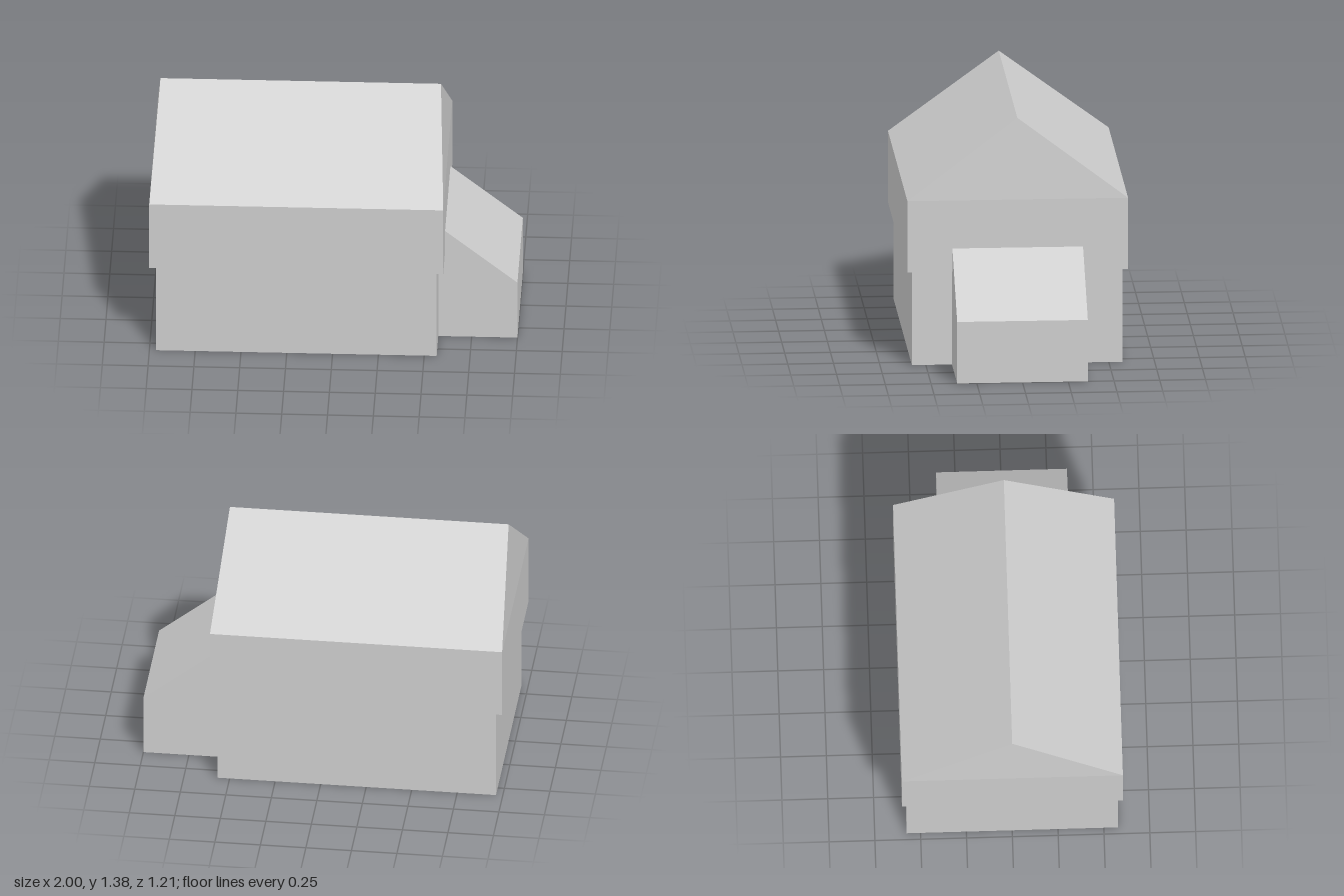
import * as THREE from 'three';

const grey = new THREE.MeshStandardMaterial({ color: 0xcccccc });
grey.name = 'plain grey';

// Straight prism from a closed outline, extruded along +z
function prism(points, depth) {
  const shape = new THREE.Shape(points.map(([x, y]) => new THREE.Vector2(x, y)));
  return new THREE.ExtrudeGeometry(shape, { depth, bevelEnabled: false });
}

// Box given by its limits in x and y, and its half depth in z
function block(x0, x1, y0, y1, halfZ) {
  return new THREE.BoxGeometry(x1 - x0, y1 - y0, 2 * halfZ)
    .translate((x0 + x1) / 2, (y0 + y1) / 2, 0);
}

export function createModel() {
  const house = new THREE.Group();
  house.name = 'house';
  const add = (name, geometry) => {
    const mesh = new THREE.Mesh(geometry, grey);
    mesh.name = name;
    house.add(mesh);
  };

  const left = -1, right = 0.605, inset = 0.037;
  const floorY = 0.53, eaveY = 0.93, ridgeY = 1.38, halfZ = 0.603;

  // Ground floor, and the slightly wider upper floor
  add('groundFloor', block(left + inset, right - inset, 0, floorY, 0.576));
  add('upperFloor', block(left, right, floorY, eaveY, halfZ));

  // Gable roof whose ridge ends lean inwards
  const roof = prism([[-halfZ, eaveY], [halfZ, eaveY], [0, ridgeY]], right - left)
    .rotateY(Math.PI / 2).translate(left, 0, 0);
  const p = roof.attributes.position;
  for (let i = 0; i < p.count; i++) {
    if (p.getY(i) > eaveY + 0.01) p.setX(i, p.getX(i) < 0 ? left + inset : right - inset);
  }
  roof.computeVertexNormals();
  add('roof', roof);

  // Lean-to at the end wall, its slope running just into the upper floor
  const wall = right - inset, leanZ = 0.357;
  add('leanTo', prism([[wall, 0], [1, 0], [1, 0.345], [wall, 0.69]], 2 * leanZ)
    .translate(0, 0, -leanZ));

  return house;
}
